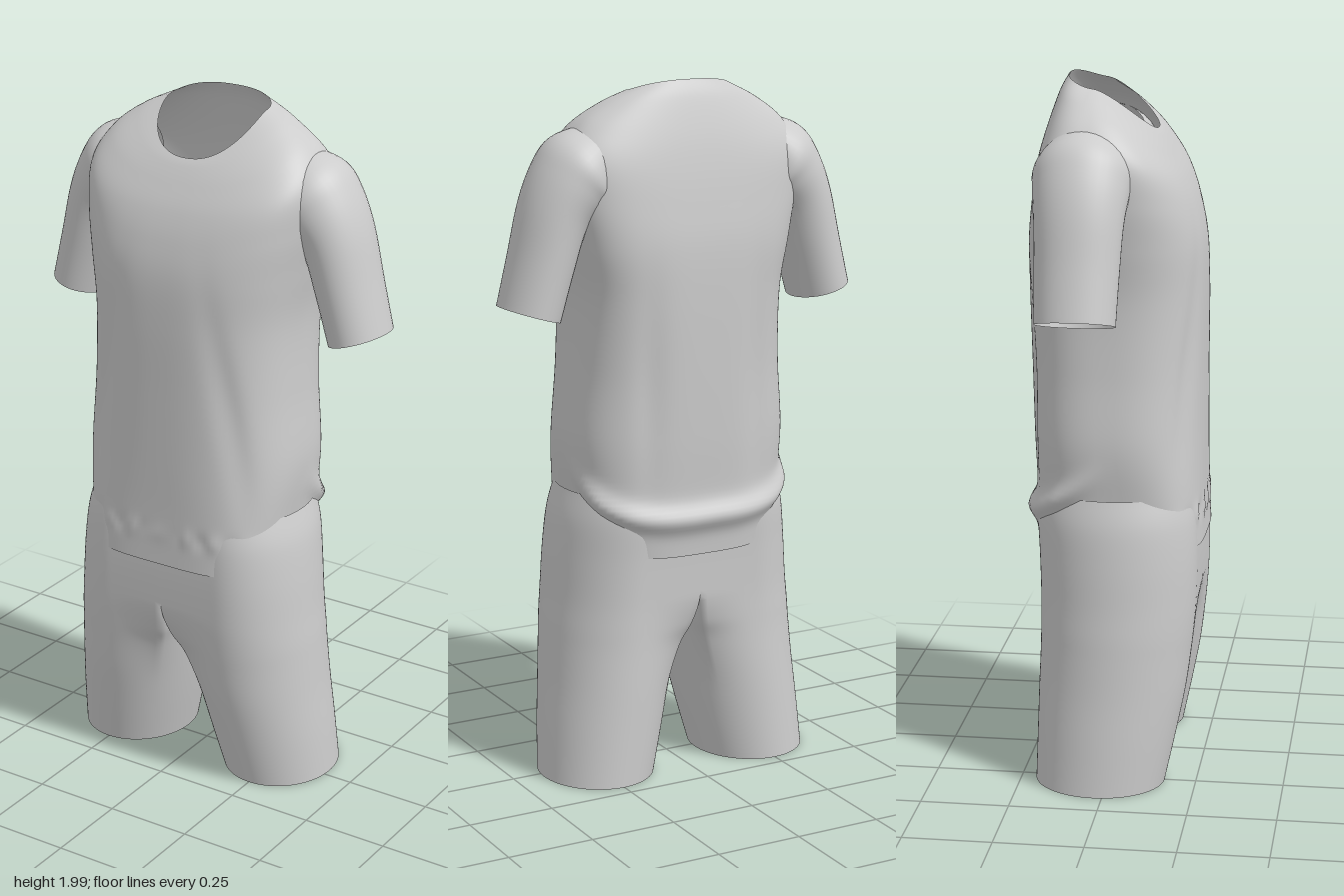
import * as THREE from 'three';

const fabric = new THREE.MeshStandardMaterial({ color: 0xcccccc, side: THREE.DoubleSide });
fabric.name = 'light grey fabric';

const lerp = THREE.MathUtils.lerp;
// Signed power: turns a circle into a squarer superellipse
const sq = (v, n) => Math.sign(v) * Math.pow(Math.abs(v), 2 / n);
const bump = (v, width) => Math.exp(-((v / width) ** 2));

// Smoothly resample a short list of cross-section keys into many rows
function resample(keys, steps) {
  const rows = [];
  const last = keys.length - 1;
  for (let s = 0; s <= last * steps; s++) {
    const i = Math.min(Math.floor(s / steps), last - 1);
    const t = s / steps - i;
    const a = keys[Math.max(i - 1, 0)], b = keys[i], c = keys[i + 1], d = keys[Math.min(i + 2, last)];
    rows.push(b.map((_, k) => {
      const m0 = (c[k] - a[k]) / 2, m1 = (d[k] - b[k]) / 2;
      const t2 = t * t, t3 = t2 * t;
      return b[k] * (2 * t3 - 3 * t2 + 1) + m0 * (t3 - 2 * t2 + t) + c[k] * (3 * t2 - 2 * t3) + m1 * (t3 - t2);
    }));
  }
  return rows;
}

// Skin closed rings, lowest first; side = -1 mirrors across x
function loft(name, rows, cols, point, side = 1, keep = () => true) {
  const pos = [], index = [];
  rows.forEach((row, i) => {
    for (let j = 0; j < cols; j++) {
      const [x, y, z] = point(row, (j / cols) * Math.PI * 2);
      pos.push(x * side, y, z);
    }
    if (i === rows.length - 1) return;
    for (let j = 0; j < cols; j++) {
      if (!keep(row, j)) continue;
      const k = (j + 1) % cols;
      const a = i * cols + j, b = a + cols, c = i * cols + k, d = c + cols;
      if (side > 0) index.push(a, b, c, c, b, d);
      else index.push(a, c, b, c, d, b);
    }
  });
  const geo = new THREE.BufferGeometry();
  geo.setAttribute('position', new THREE.Float32BufferAttribute(pos, 3));
  geo.setIndex(index);
  geo.computeVertexNormals();
  const mesh = new THREE.Mesh(geo, fabric);
  mesh.name = name;
  return mesh;
}

// Shirt body: front y, side y, back y, half width, front z, back z, side z,
// front squareness, back squareness, tilt power
const bodyKeys = [
  [0.69, 0.69, 0.67, 0.285, 0.255, -0.222, 0.01, 3.8, 3.2, 2],
  [0.76, 0.76, 0.75, 0.3, 0.252, -0.228, 0.01, 3.6, 3.2, 2],
  [0.85, 0.85, 0.85, 0.315, 0.25, -0.228, 0.01, 3.2, 3, 2],
  [1.0, 1.0, 1.0, 0.328, 0.25, -0.236, 0, 2.7, 2.8, 2],
  [1.2, 1.2, 1.2, 0.313, 0.25, -0.242, 0, 2.6, 2.8, 2],
  [1.4, 1.4, 1.4, 0.308, 0.25, -0.245, 0, 2.6, 3.1, 2],
  [1.54, 1.55, 1.55, 0.328, 0.243, -0.242, -0.02, 2.7, 3.4, 2],
  [1.64, 1.68, 1.67, 0.35, 0.222, -0.228, -0.04, 2.8, 3.4, 2],
  [1.72, 1.8, 1.77, 0.357, 0.192, -0.212, -0.055, 2.8, 3.2, 2],
  [1.785, 1.882, 1.86, 0.312, 0.155, -0.192, -0.06, 2.5, 2.7, 1.9],
  [1.83, 1.94, 1.955, 0.232, 0.125, -0.163, -0.06, 2.3, 2.4, 1.5],
  [1.85, 1.97, 2.0, 0.157, 0.108, -0.14, -0.055, 2.3, 2.4, 1.2],
];

function bodyPoint([yf, ys, yb, rx, zf, zb, zs, nf, nb, tilt], t) {
  const c = Math.cos(t), s = Math.sin(t);
  const n = s > 0 ? nf : nb;
  const x = rx * sq(c, n);
  const y = lerp(ys, s > 0 ? yf : yb, Math.pow(Math.abs(s), tilt));
  let z = zs + (s > 0 ? zf - zs : zs - zb) * sq(s, n);
  // Gathers at the front of the waist and long drape folds
  const gather = 0.005 * Math.cos(x * 70) * bump(y - 0.785, 0.025) * Math.max(0, s);
  const reach = bump(y - 1.15, 0.28) * Math.abs(s);
  const drape = s > 0
    ? -0.014 * bump(Math.abs(x) - lerp(0.27, 0.15, (y - 0.85) / 0.65), 0.035)
    : 0.01 * bump(Math.abs(x) - 0.17, 0.04);
  // Rolled hem sagging from the sides to the middle of the back
  const back = Math.max(0, -s);
  const sag = lerp(0.95, 0.78, Math.pow(back, 0.6));
  const roll = 0.026 * bump(y - sag, 0.035) * Math.min(1, back * 2);
  z += gather + drape * reach + roll * s;
  return [x + roll * c, y, z];
}

// Sleeve: centre x, centre y, tilt of the ring, radius, depth radius
const sleeveKeys = [
  [0.463, 1.375, 0.29, 0.086, 0.11],
  [0.426, 1.51, 0.3, 0.089, 0.115],
  [0.388, 1.64, 0.38, 0.096, 0.122],
  [0.342, 1.717, 0.65, 0.113, 0.132],
  [0.305, 1.757, 0.95, 0.12, 0.134],
  [0.258, 1.808, 1.2, 0.078, 0.1],
];
const sleevePoint = ([cx, cy, tilt, r, rz], t) => [
  cx + Math.cos(tilt) * r * Math.cos(t),
  cy + Math.sin(tilt) * r * Math.cos(t),
  -0.062 + rz * Math.sin(t),
];

// Shorts half: y, outer x, inner x, front z, back z, roundness of the inner thigh
const shortsKeys = [
  [0.008, 0.415, 0.085, 0.16, -0.21, 1],
  [0.15, 0.405, 0.05, 0.19, -0.208, 1],
  [0.28, 0.393, 0.022, 0.215, -0.206, 0.95],
  [0.39, 0.385, 0.003, 0.229, -0.203, 0.7],
  [0.46, 0.38, 0, 0.236, -0.202, 0.28],
  [0.54, 0.372, 0, 0.241, -0.202, 0],
  [0.66, 0.362, 0, 0.243, -0.206, 0],
  [0.77, 0.348, 0, 0.239, -0.212, 0],
  [0.85, 0.325, 0, 0.228, -0.21, 0],
];
// Outer half is a half ellipse; inner half goes from a square seam to a round leg
function shortsPoint([y, xo, xi, zf, zb, leg], t) {
  let c = Math.cos(t), s = Math.sin(t);
  if (c < 0) {
    const w = THREE.MathUtils.clamp(leg, 0, 1);
    const scale = lerp(1 / Math.max(-c, Math.abs(s)), 1, w);
    c *= scale;
    s *= scale;
  }
  return [(xo + xi) / 2 + ((xo - xi) / 2) * c, y, (zf + zb) / 2 + ((zf - zb) / 2) * s];
}

export function createModel() {
  const group = new THREE.Group();
  group.name = 'shirtAndShorts';
  group.add(loft('shirtBody', resample(bodyKeys, 8), 128, bodyPoint));
  const sleeveRows = resample(sleeveKeys, 6);
  const shortsRows = resample(shortsKeys, 6);
  const cols = 96;
  // Above the crotch the two halves meet without a wall between them
  const keep = (row, j) => row[5] > 0.001 || j < cols * 3 / 8 || j >= cols * 5 / 8;
  for (const [label, side] of [['left', 1], ['right', -1]]) {
    group.add(loft(label + 'Sleeve', sleeveRows, 40, sleevePoint, side));
    group.add(loft(label + 'ShortsLeg', shortsRows, cols, shortsPoint, side, keep));
  }
  return group;
}
